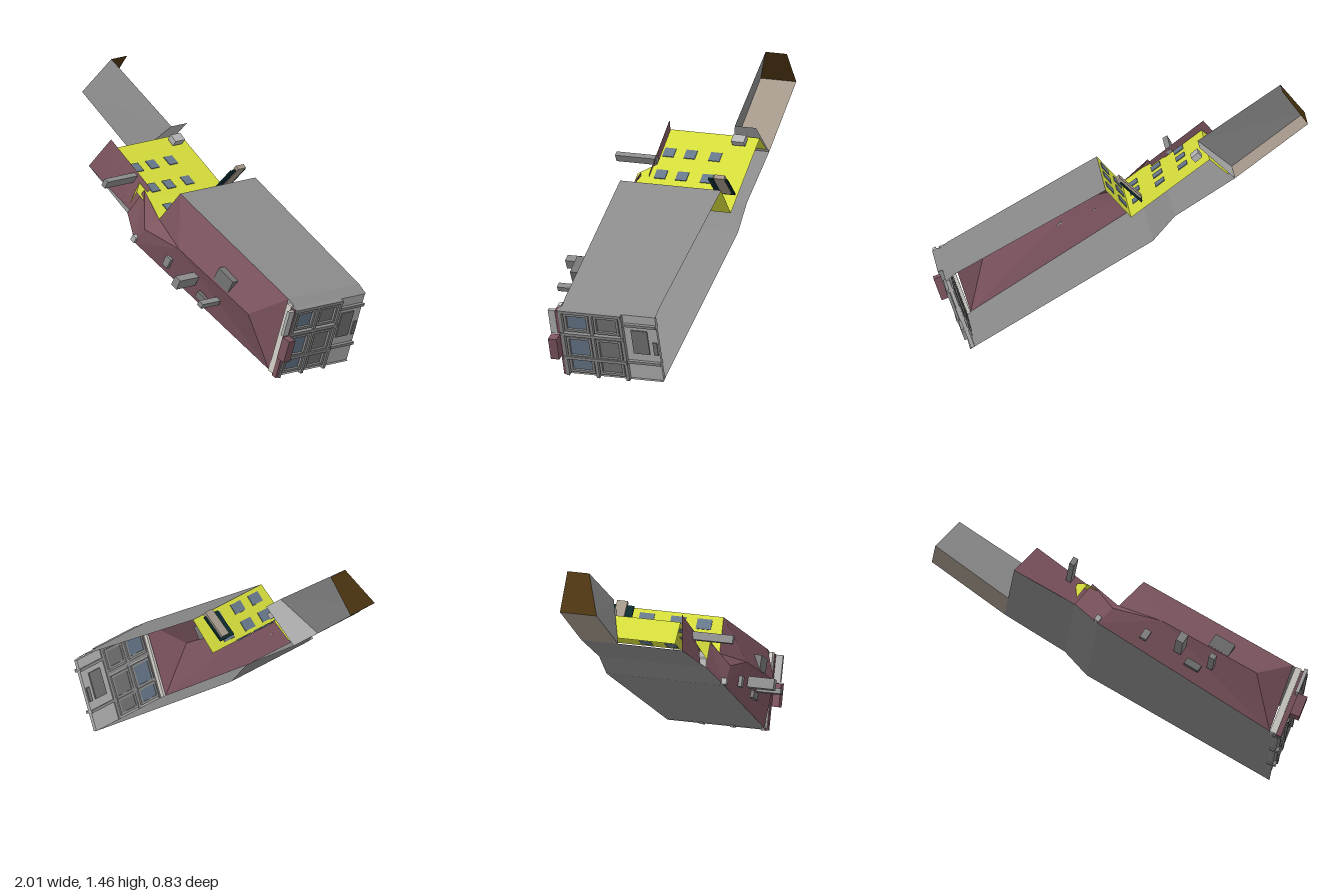
import * as THREE from 'three';

const mat = (name, color) => {
  const m = new THREE.MeshStandardMaterial({ color, side: THREE.DoubleSide });
  m.name = name;
  return m;
};

export function createModel() {
  const root = new THREE.Group();
  root.name = 'topplingTower';
  const maroon = mat('maroon wall', 0x7c545e), gray = mat('concrete', 0x8a8a8a);
  const light = mat('light concrete', 0xb2b2b2), yellow = mat('yellow interior', 0xd2da3a);
  const glass = mat('window glass', 0x66778a), tan = mat('tan floor', 0xa3978a);
  const brown = mat('brown end', 0x4c3411), dark = mat('dark teal', 0x0c2a2c);
  const white = mat('pale trim', 0xd6d3cc), mid = mat('dark concrete', 0x747474);

  // Flat faceted sheet made of polygons, each fanned from its first corner
  const sheet = (name, material, ...polys) => {
    const p = [];
    for (const poly of polys)
      for (let i = 1; i < poly.length - 1; i++) p.push(...poly[0], ...poly[i], ...poly[i + 1]);
    const g = new THREE.BufferGeometry();
    g.setAttribute('position', new THREE.Float32BufferAttribute(p, 3));
    g.computeVertexNormals();
    const m = new THREE.Mesh(g, material);
    m.name = name;
    root.add(m);
    return m;
  };
  const box = (name, material, size, pos, rot = 0, parent = root) => {
    const m = new THREE.Mesh(new THREE.BoxGeometry(...size), material);
    m.name = name;
    m.position.set(...pos);
    m.rotation.z = rot;
    parent.add(m);
    return m;
  };

  // Bulging front wall, open at the back
  const a = [-0.17, 0.9, 0.17], b = [-0.03, 0.76, 0.2], c = [0.11, 0.92, 0.18], d = [0.93, 0.45, 0.18];
  const e = [0.8, 0.04, 0.2], f = [-0.15, 0.62, 0.265], g = [-0.27, 0.76, 0.2];
  const m1 = [-0.07, 0.71, 0.275], m2 = [0.2, 0.64, 0.285], m3 = [0.72, 0.35, 0.28];
  sheet('frontWall', maroon, [a, g, f, m1], [a, m1, b], [b, m1, m2, c], [c, m2, m3, d],
    [d, m3, e], [m2, m1, f], [m2, f, e], [m2, e, m3]);
  sheet('upperFrontWall', maroon,
    [[-0.47, 1.13, 0.12], [-0.6, 0.97, 0.16], [-0.27, 0.76, 0.165], [-0.17, 0.9, 0.12]]);

  // Roof side and under side of the fallen tower
  sheet('roofSide', gray,
    [c, d, [0.93, 0.45, -0.378], [0.11, 0.92, -0.415]],
    [d, [0.985, 0.405, 0.18], [0.985, 0.405, -0.375], [0.93, 0.45, -0.378]]);
  const f2 = [-0.15, 0.62, -0.41], g2 = [-0.27, 0.76, -0.415], e2 = [0.8, 0.04, -0.37];
  sheet('underSide', gray, [e, f, f2, e2], [f, g, g2, f2],
    [g, [-0.6, 0.97, 0.16], [-0.6, 0.97, -0.415], g2],
    [e, e2, [0.85, 0.01, -0.37], [0.85, 0.01, 0.2]]);

  // Exposed interior floors at the break
  const zb = -0.415;
  sheet('brokenFloor', yellow,
    [[-0.03, 0.76, zb], [-0.46, 1.08, zb], [-0.46, 1.08, 0.11], [-0.26, 0.93, 0.11], [-0.2, 0.885, 0.2], b],
    [[-0.26, 0.93, 0.11], [-0.26, 0.8, 0.2], [-0.2, 0.885, 0.2]],
    [[-0.46, 1.08, zb], [-0.565, 0.99, zb], [-0.565, 0.99, 0.11], [-0.46, 1.08, 0.11]],
    [[0.11, 0.92, zb], [-0.03, 0.76, zb], b, c]);

  // Windows on the two yellow slopes
  const slopeA = Math.atan2(-0.32, 0.43), slopeB = Math.atan2(0.16, 0.14);
  for (const z of [0.065, -0.06, -0.205]) {
    for (const x of [-0.33, -0.205, -0.08])
      box('floorWindow', glass, [0.06, 0.009, 0.065], [x, 1.08 - (x + 0.46) * 0.744, z], slopeA);
  }
  for (const z of [0.08, -0.07, -0.25])
    for (const x of [0.005, 0.075])
      box('wallWindow', glass, [0.06, 0.009, 0.085], [x, 0.76 + (x + 0.03) * 1.143, z], slopeB);

  // Hollow upper slab, open on top and at the back
  const s1 = [-1, 1.27, -0.205], s2 = [-0.86, 1.46, -0.29], s3 = [-0.405, 1.15, -0.29], s4 = [-0.6, 0.97, -0.205];
  const back = (p) => [p[0], p[1], zb];
  sheet('slabFront', gray, [s1, s4, s3, s2]);
  sheet('slabEnd', brown, [s1, s2, back(s2), back(s1)]);
  sheet('slabFloor', tan, [s1, back(s1), back(s4), s4]);
  sheet('slabPartition', light, [s4, s3, back(s3), back(s4)]);
  box('slabBracket', light, [0.05, 0.035, 0.075], [-0.395, 1.075, -0.32], -0.7);

  // Loose plank on its dark backing
  box('plankBacking', dark, [0.16, 0.01, 0.115], [-0.03, 0.905, -0.362], 0.75);
  box('plank', tan, [0.165, 0.025, 0.06], [-0.02, 0.92, -0.375], 0.75);

  // Fittings that stick out of the front wall
  const tilt = -0.54;
  box('wallBox', mid, [0.125, 0.08, 0.08], [0.53, 0.51, 0.24], tilt);
  box('wallVent', mid, [0.09, 0.04, 0.02], [0.37, 0.385, 0.275], tilt);
  box('wallPlate', gray, [0.04, 0.06, 0.02], [0.11, 0.555, 0.28], tilt);
  box('wallPlate', light, [0.03, 0.035, 0.03], [-0.15, 0.645, 0.265], tilt);
  box('beam', gray, [0.045, 0.06, 0.15], [0.3, 0.485, 0.34], tilt);
  box('beam', gray, [0.035, 0.03, 0.14], [0.47, 0.385, 0.33], tilt);
  box('beam', gray, [0.03, 0.045, 0.24], [-0.29, 0.945, 0.24], tilt);

  // Tower foot: local x points out of the foot, local y runs up it
  const foot = new THREE.Group();
  foot.name = 'towerFoot';
  foot.position.set(0.85, 0.005, 0);
  foot.rotation.z = -0.345;
  root.add(foot);
  const part = (name, m, size, pos) => box(name, m, size, pos, 0, foot);
  part('footPlate', light, [0.02, 0.41, 0.57], [-0.02, 0.215, -0.085]);
  part('paleTrim', white, [0.035, 0.42, 0.02], [-0.04, 0.222, 0.195]);
  part('footEdge', maroon, [0.03, 0.42, 0.02], [-0.005, 0.212, 0.2]);
  part('footBox', maroon, [0.055, 0.13, 0.05], [0.04, 0.2, 0.225]);
  part('footBracket', light, [0.02, 0.15, 0.04], [0.005, 0.345, 0.23]);

  // Framed windows in rows and columns
  for (const [y, h] of [[0.345, 0.085], [0.185, 0.105], [0.07, 0.065]]) {
    for (const [z, m] of [[0.095, glass], [-0.08, mid]]) {
      part('footWindow', m, [0.034, h, 0.115], [-0.02, y, z]);
      for (const s of [-1, 1]) {
        part('frameRail', gray, [0.05, 0.014, 0.145], [-0.015, y + s * (h / 2 + 0.007), z]);
        part('framePost', gray, [0.05, h, 0.014], [-0.015, y, z + s * 0.065]);
      }
    }
  }
  for (const y of [0.118, 0.27, 0.415]) part('ledge', gray, [0.055, 0.018, 0.37], [-0.008, y, 0.01]);
  for (const z of [0.185, 0.008, -0.168]) part('rib', gray, [0.05, 0.42, 0.018], [-0.01, 0.21, z]);

  // Door panel beside the windows
  part('doorPanel', mid, [0.034, 0.15, 0.095], [-0.02, 0.25, -0.265]);
  part('doorSide', mid, [0.034, 0.08, 0.025], [-0.02, 0.215, -0.35]);
  for (const y of [0.12, 0.36]) part('doorRail', gray, [0.045, 0.016, 0.2], [-0.015, y, -0.27]);
  return root;
}
